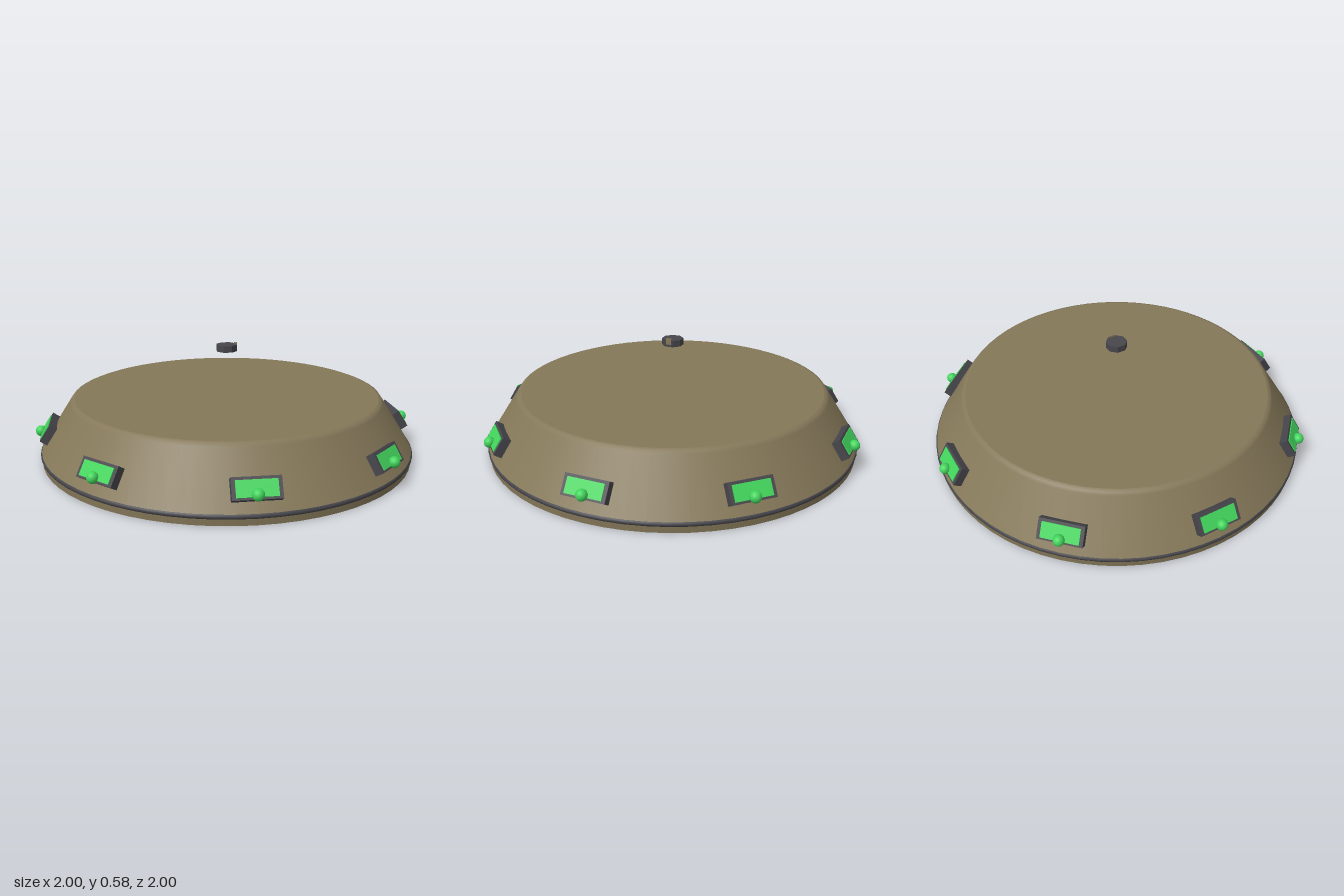
import * as THREE from 'three';

const hull = new THREE.MeshStandardMaterial({ color: 0x857859 });
hull.name = 'khaki hull';
const dark = new THREE.MeshStandardMaterial({ color: 0x46464c });
dark.name = 'dark metal';
const green = new THREE.MeshStandardMaterial({ color: 0x42d45c });
green.name = 'green light';

function add(parent, name, geometry, material, x = 0, y = 0, z = 0) {
  const mesh = new THREE.Mesh(geometry, material);
  mesh.name = name;
  mesh.position.set(x, y, z);
  parent.add(mesh);
  return mesh;
}

// Revolves one smooth strip of the hull; separate strips keep hard edges
function strip(parent, name, points) {
  const profile = points.map(([r, y]) => new THREE.Vector2(r, y));
  return add(parent, name, new THREE.LatheGeometry(profile, 64), hull);
}

// One tilted window box with its glowing panel and bulb, facing +z
function lightPort() {
  const port = new THREE.Group();
  port.name = 'lightPort';
  const tilted = new THREE.Group();
  tilted.name = 'tiltedWindow';
  tilted.position.set(0, 0.145, 0.921);
  tilted.rotation.x = -0.575;
  add(tilted, 'windowFrame', new THREE.BoxGeometry(0.22, 0.1, 0.055), dark);
  add(tilted, 'windowPanel', new THREE.BoxGeometry(0.185, 0.076, 0.009), green, 0, -0.002, 0.028);
  port.add(tilted);
  add(port, 'windowBulb', new THREE.SphereGeometry(0.028, 16, 12), green, 0, 0.14, 0.972);
  return port;
}

export function createModel() {
  const model = new THREE.Group();
  model.name = 'saucerBase';

  // Hull
  strip(model, 'underside', [[0, 0], [0.968, 0]]);
  strip(model, 'lowerRim', [[0.968, 0], [0.972, 0.05]]);
  strip(model, 'slopedWall', [[0.972, 0.05], [0.815, 0.295], [0.806, 0.308], [0.79, 0.314]]);
  strip(model, 'topDeck', [[0.79, 0.314], [0, 0.314]]);

  // Dark band around the rim
  const band = add(model, 'rimBand', new THREE.TorusGeometry(0.961, 0.015, 10, 64), dark, 0, 0.042, 0);
  band.rotation.x = Math.PI / 2;

  // Ring of eight light ports
  for (let i = 0; i < 8; i++) {
    const port = lightPort();
    port.rotation.y = (i * Math.PI) / 4;
    model.add(port);
  }

  // Floating octagonal knob with a small stud
  const knobGeometry = new THREE.CylinderGeometry(0.055, 0.055, 0.034, 8).toNonIndexed();
  knobGeometry.computeVertexNormals();
  const knob = add(model, 'floatingKnob', knobGeometry, dark, 0, 0.553, 0);
  knob.rotation.y = Math.PI / 8;
  const stud = add(model, 'knobStud', new THREE.BoxGeometry(0.026, 0.03, 0.012), hull, 0.034, 0.564, 0.034);
  stud.rotation.y = Math.PI / 4;

  return model;
}
